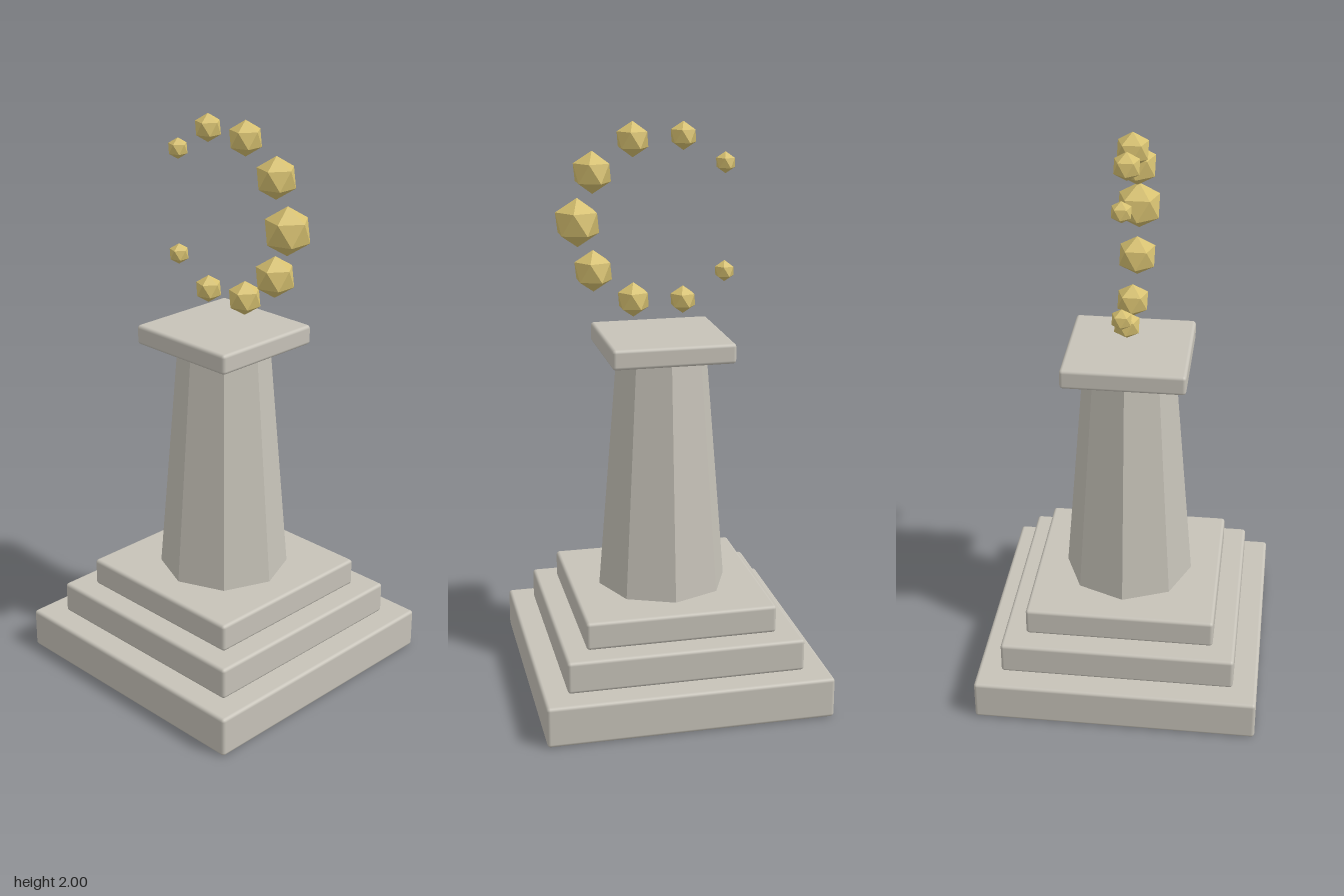
import * as THREE from 'three';
import { RoundedBoxGeometry } from 'three/addons/geometries/RoundedBoxGeometry.js';

export function createModel() {
  const model = new THREE.Group();
  model.name = 'pedestalWithGemArc';

  const stone = new THREE.MeshStandardMaterial({ color: 0xc6c2b8 });
  stone.name = 'stone';
  const gold = new THREE.MeshStandardMaterial({ color: 0xd6c070 });
  gold.name = 'gold';

  const add = (name, geometry, material, x, y) => {
    const mesh = new THREE.Mesh(geometry, material);
    mesh.name = name;
    mesh.position.set(x, y, 0);
    model.add(mesh);
    return mesh;
  };

  // Square slabs with softened edges: name, width, bottom, top
  const slabs = [
    ['lowerStep', 1.0, 0, 0.145],
    ['middleStep', 0.83, 0.145, 0.26],
    ['upperStep', 0.67, 0.26, 0.36],
    ['capital', 0.425, 1.205, 1.275],
  ];
  for (const [name, width, bottom, top] of slabs) {
    const geometry = new RoundedBoxGeometry(width, top - bottom, width, 2, 0.012);
    add(name, geometry, stone, 0, (bottom + top) / 2);
  }

  // Tapered eight-sided shaft
  const shaft = new THREE.CylinderGeometry(0.16, 0.23, 0.85, 8).toNonIndexed();
  shaft.computeVertexNormals();
  add('shaft', shaft, stone, 0, 0.782);

  // Open arc of gems, largest in the middle; each stands on a corner
  const tilt = Math.atan((Math.sqrt(5) - 1) / 2);
  const ringRadius = 0.289;
  for (let i = -4; i <= 4; i++) {
    const angle = THREE.MathUtils.degToRad(35 * i);
    const size = 0.083 - 0.0115 * Math.abs(i);
    const geometry = new THREE.IcosahedronGeometry(size).rotateZ(-tilt);
    add('gem' + (i + 5), geometry, gold,
      ringRadius * Math.cos(angle), 1.668 + ringRadius * Math.sin(angle));
  }

  return model;
}
